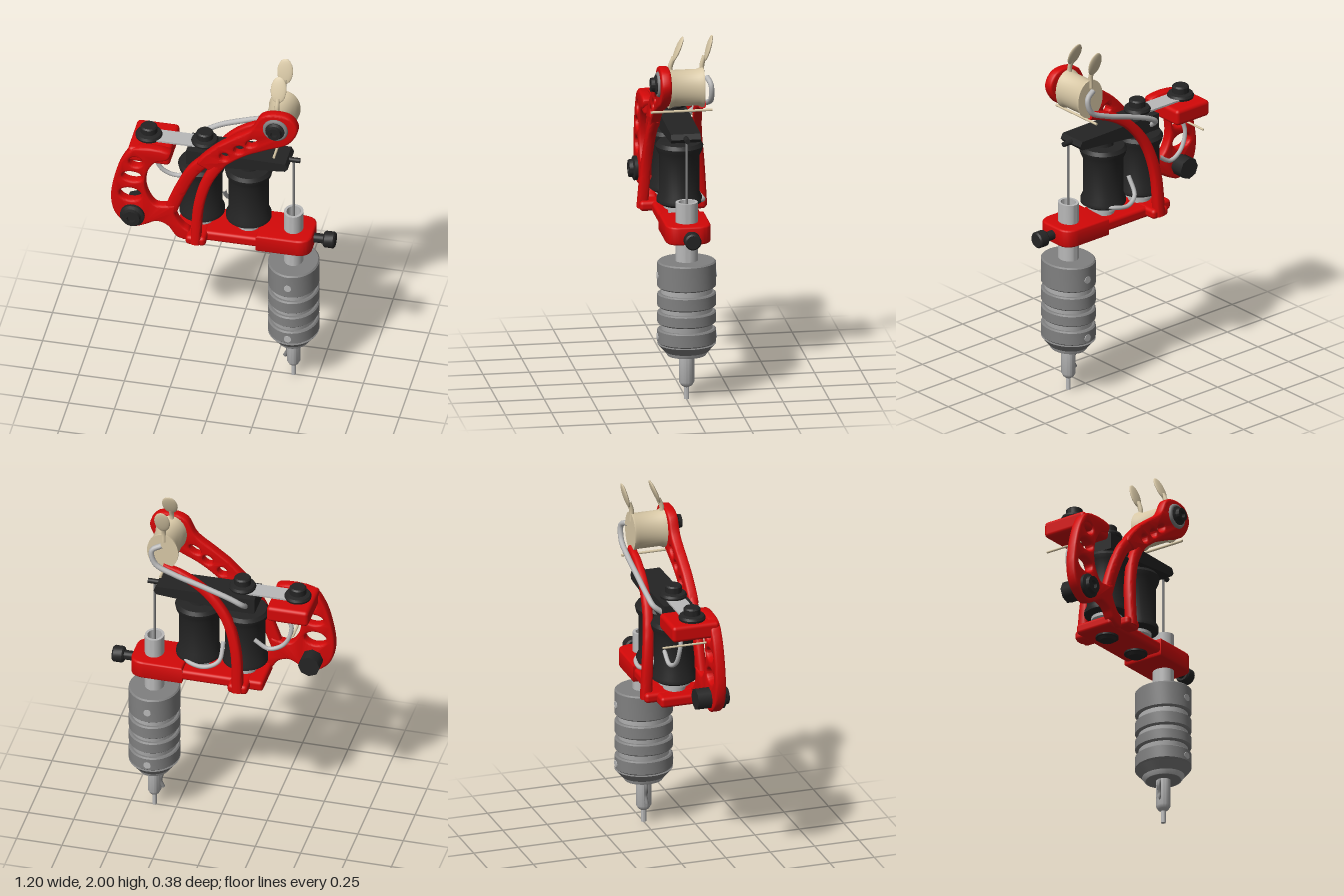
import * as THREE from 'three';
import { toCreasedNormals } from 'three/addons/utils/BufferGeometryUtils.js';
import { RoundedBoxGeometry } from 'three/addons/geometries/RoundedBoxGeometry.js';

const mat = (name, color) => {
  const m = new THREE.MeshStandardMaterial({ color });
  m.name = name;
  return m;
};
const V = (p) => new THREE.Vector3(...p);

export function createModel() {
  const root = new THREE.Group();
  root.name = 'coilMachine';
  const red = mat('frame red', 0xd40808);
  const black = mat('black', 0x242424);
  const steel = mat('light steel', 0xb9b9b9);
  const grey = mat('grip grey', 0x808080);
  const beige = mat('brass beige', 0xd8c8a6);

  const add = (name, geo, m, x = 0, y = 0, z = 0) => {
    const mesh = new THREE.Mesh(geo, m);
    mesh.name = name;
    mesh.position.set(x, y, z);
    root.add(mesh);
    return mesh;
  };
  // Turned part: profile of [radius, height] pairs
  const lathe = (name, pts, m, x = 0, y = 0, z = 0, seg = 40) =>
    add(name, toCreasedNormals(new THREE.LatheGeometry(pts.map((p) => new THREE.Vector2(...p)), seg), 0.6), m, x, y, z);
  const rod = (name, r, h, m, x, y, z, seg = 28) => add(name, new THREE.CylinderGeometry(r, r, h, seg), m, x, y, z);
  const tube = (name, pts, r, m) =>
    add(name, new THREE.TubeGeometry(new THREE.CatmullRomCurve3(pts.map(V)), 48, r, 10), m);

  // Flat plate with a smooth closed outline and oval holes [x, y, rx, ry, tilt]
  const plate = (name, outline, holes, z, depth) => {
    const curve = new THREE.CatmullRomCurve3(outline.map(([x, y]) => V([x, y, 0])), true, 'centripetal');
    const shape = new THREE.Shape(curve.getPoints(100).slice(0, -1).map((p) => new THREE.Vector2(p.x, p.y)));
    for (const [x, y, rx, ry, tilt] of holes)
      shape.holes.push(new THREE.Path().absellipse(x, y, rx, ry, 0, Math.PI * 2, true, tilt));
    const b = 0.012;
    const geo = new THREE.ExtrudeGeometry(shape, {
      depth: depth - 2 * b, bevelThickness: b, bevelSize: b, bevelOffset: -b, bevelSegments: 3, curveSegments: 20,
    });
    return add(name, toCreasedNormals(geo, 0.7), red, 0, 0, z + b);
  };

  // Bar with a rounded section swept along a path; w and t run from start to end
  const strip = (name, pts, w, t) => {
    const curve = new THREE.CatmullRomCurve3(pts.map(V));
    const rows = 30, n = 16, pos = [], idx = [];
    const lerp = THREE.MathUtils.lerp;
    const soft = (c) => Math.sign(c) * Math.pow(Math.abs(c), 0.6);
    for (let i = 0; i <= rows; i++) {
      const u = i / rows, p = curve.getPoint(u), d = curve.getTangent(u);
      const l = Math.hypot(d.x, d.y);
      for (let j = 0; j < n; j++) {
        const a = (j / n) * Math.PI * 2;
        const k = lerp(w[0], w[1], u) * soft(Math.cos(a));
        pos.push(p.x - (d.y / l) * k, p.y + (d.x / l) * k, p.z + lerp(t[0], t[1], u) * soft(Math.sin(a)));
      }
    }
    const s = pos.length / 3, e = s + 1;
    pos.push(...pts[0], ...pts[pts.length - 1]);
    for (let j = 0; j < n; j++) {
      const k = (j + 1) % n;
      for (let i = 0; i < rows; i++) {
        const a = i * n, c = a + n;
        idx.push(a + j, a + k, c + k, a + j, c + k, c + j);
      }
      idx.push(s, k, j, e, rows * n + j, rows * n + k);
    }
    const geo = new THREE.BufferGeometry();
    geo.setAttribute('position', new THREE.Float32BufferAttribute(pos, 3));
    geo.setIndex(idx);
    return add(name, toCreasedNormals(geo, 0.9), red);
  };

  // Rear side plate and its top shelf
  plate('rearFrame', [
    [-0.48, 1.475], [-0.54, 1.4], [-0.585, 1.26], [-0.6, 1.12], [-0.57, 1.02], [-0.48, 0.957], [-0.41, 0.98],
    [-0.35, 1.01], [-0.29, 0.99], [-0.24, 0.925], [-0.17, 0.915], [-0.17, 0.97], [-0.21, 1.0], [-0.25, 1.07],
    [-0.25, 1.13], [-0.3, 1.12], [-0.36, 1.12], [-0.41, 1.21], [-0.405, 1.32], [-0.36, 1.4], [-0.29, 1.43], [-0.28, 1.475],
  ], [
    [-0.465, 1.39, 0.036, 0.032, 0], [-0.485, 1.29, 0.055, 0.032, 0], [-0.495, 1.17, 0.06, 0.042, 0],
  ], 0.075, 0.058);
  add('shelf', new RoundedBoxGeometry(0.23, 0.09, 0.265, 3, 0.02), red, -0.395, 1.435, -0.005);

  // Front arm: pierced head section splitting into two legs
  plate('armHead', [
    [0.3, 1.835], [0.22, 1.81], [0.165, 1.715], [0.06, 1.635], [-0.04, 1.555], [-0.13, 1.44], [-0.1, 1.42],
    [-0.02, 1.4], [0.04, 1.46], [0.14, 1.535], [0.26, 1.595], [0.37, 1.65], [0.42, 1.75], [0.38, 1.82],
  ], [
    [0.17, 1.625, 0.036, 0.02, 0.6], [0.1, 1.57, 0.03, 0.023, 0.7], [0.02, 1.51, 0.026, 0.023, 0.8],
  ], 0.085, 0.055);
  strip('armRearLeg', [[-0.06, 1.48, 0.112], [-0.15, 1.38, 0.11], [-0.22, 1.24, 0.105], [-0.28, 1.08, 0.105]], [0.035, 0.035], [0.025, 0.025]);
  strip('armFrontLeg', [[0, 1.46, 0.112], [-0.07, 1.34, 0.125], [-0.115, 1.18, 0.14], [-0.13, 0.93, 0.16]], [0.032, 0.027], [0.025, 0.03]);

  // Slim arm on the far side
  strip('backArm', [
    [-0.13, 0.93, -0.16], [-0.115, 1.18, -0.145], [-0.06, 1.36, -0.125], [0.05, 1.5, -0.11], [0.18, 1.58, -0.1], [0.3, 1.62, -0.095],
  ], [0.03, 0.024], [0.03, 0.02]);

  // Base with the tube clamp
  add('basePlate', new RoundedBoxGeometry(0.55, 0.06, 0.23, 3, 0.018), red, 0.02, 0.94, 0);
  add('baseFoot', new RoundedBoxGeometry(0.11, 0.055, 0.36, 3, 0.02), red, -0.13, 0.945, 0);
  const clamp = new THREE.Shape();
  clamp.moveTo(0.2, -0.11).lineTo(0.4, -0.11).quadraticCurveTo(0.47, -0.11, 0.47, -0.05)
    .lineTo(0.47, 0.05).quadraticCurveTo(0.47, 0.11, 0.4, 0.11).lineTo(0.2, 0.11).closePath();
  const clampGeo = new THREE.ExtrudeGeometry(clamp, { depth: 0.08, bevelThickness: 0.01, bevelSize: 0.012, bevelSegments: 3 });
  add('tubeClamp', toCreasedNormals(clampGeo.rotateX(-Math.PI / 2), 0.7), red, 0, 0.9, 0);
  lathe('thumbScrew', [[0, 0], [0.026, 0], [0.026, 0.06], [0.037, 0.06], [0.045, 0.068], [0.045, 0.115], [0.037, 0.123], [0, 0.123]],
    black, 0.475, 0.94, 0, 20).rotation.z = -Math.PI / 2;

  // Coils with cores, washers and base bolts
  for (const x of [-0.13, 0.125]) {
    lathe('coil', [
      [0, 1.02], [0.1, 1.02], [0.122, 1.035], [0.122, 1.055], [0.108, 1.085], [0.108, 1.29],
      [0.122, 1.32], [0.128, 1.345], [0.115, 1.365], [0.056, 1.367], [0.054, 1.388], [0, 1.388],
    ], black, x);
    rod('coilWasher', 0.085, 0.018, steel, x, 1.01, 0);
    rod('coilCore', 0.06, 0.05, steel, x, 0.985, 0);
    lathe('baseBolt', [[0, 0.885], [0.04, 0.885], [0.05, 0.9], [0.062, 0.9], [0.062, 0.915], [0, 0.915]], black, x);
  }

  // Armature bar, spring and their bolts
  const bar = new THREE.Shape([[-0.2, 1.385], [-0.05, 1.385], [0.34, 1.42], [0.355, 1.44], [0.34, 1.468], [-0.2, 1.475]].map((p) => new THREE.Vector2(...p)));
  add('armatureBar', new THREE.ExtrudeGeometry(bar, { depth: 0.16, bevelEnabled: false }), black, 0, 0, -0.08);
  rod('armatureNipple', 0.014, 0.06, black, 0.375, 1.445, 0).rotation.z = Math.PI / 2;
  add('spring', new THREE.BoxGeometry(0.32, 0.01, 0.1), steel, -0.27, 1.487, 0);
  for (const [x, y] of [[-0.42, 1.48], [-0.115, 1.49]])
    lathe('topBolt', [[0, 0], [0.07, 0], [0.073, 0.012], [0.066, 0.025], [0.045, 0.03], [0.045, 0.062], [0.038, 0.07], [0, 0.07]], black, x, y, 0);

  // Side screws with socket heads
  const sideScrew = (name, x, y, z, r) => {
    lathe(name, [[0, 0], [r, 0], [r, 0.018], [r * 0.75, 0.026], [r * 0.7, 0.045], [r * 0.35, 0.045], [r * 0.35, 0.025], [0, 0.025]],
      black, x, y, z).rotation.x = Math.PI / 2;
  };
  sideScrew('rearScrew', -0.48, 1.04, 0.132, 0.066);
  sideScrew('armScrew', 0.3, 1.74, 0.138, 0.052);
  add('armScrewRing', new THREE.TorusGeometry(0.056, 0.013, 12, 40), grey, 0.3, 1.74, 0.14);
  rod('rearKnob', 0.06, 0.08, black, -0.48, 1.04, 0.037, 8).rotation.x = Math.PI / 2;

  // Clip drum with two wings and a cross pin
  const drum = lathe('clipDrum', [[0, -0.1], [0.11, -0.1], [0.11, -0.09], [0.1, -0.07], [0.1, 0.06], [0.11, 0.08], [0.11, 0.09], [0, 0.09]], beige, 0.3, 1.715, 0);
  drum.rotation.x = Math.PI / 2;
  drum.scale.x = 0.78;
  for (const [z0, z1, tilt] of [[0.075, 0.035, -0.4], [-0.095, -0.13, -0.28]]) {
    tube('wingStem', [[0.295, 1.78, z0], [0.295, 1.84, z0], [0.295, 1.89, z1 + 0.02]], 0.013, beige);
    const wing = add('wing', new THREE.SphereGeometry(1, 28, 18), beige, 0.295, 1.93, z1);
    wing.scale.set(0.043, 0.073, 0.011);
    wing.rotation.x = tilt;
  }
  rod('clipPin', 0.007, 0.33, beige, 0.3, 1.585, 0.015, 10).rotation.x = Math.PI / 2;
  rod('rearPin', 0.006, 0.05, beige, -0.435, 1.34, -0.145, 10).rotation.x = Math.PI / 2;
  rod('rearPinPost', 0.006, 0.2, beige, -0.435, 1.34, -0.02, 10).rotation.x = Math.PI / 2;

  // Wiring
  tube('mainWire', [
    [0.3, 1.77, -0.12], [0.35, 1.74, -0.135], [0.33, 1.66, -0.14], [0.22, 1.605, -0.14], [0.08, 1.56, -0.14],
    [-0.08, 1.5, -0.135], [-0.14, 1.46, -0.12], [-0.15, 1.42, -0.07],
  ], 0.015, steel);
  tube('rearWire', [[-0.36, 1.42, -0.04], [-0.4, 1.31, -0.06], [-0.36, 1.21, -0.07], [-0.28, 1.175, -0.08], [-0.2, 1.22, -0.08]], 0.012, steel);
  tube('coilWire', [[-0.02, 1.15, -0.04], [-0.01, 1.06, -0.1], [0.06, 1.03, -0.13], [0.15, 1.04, -0.12], [0.2, 1.05, -0.06]], 0.012, steel);

  // Needle bar, tube, grip and tip, slightly deeper than wide
  const gx = 0.37, deep = 1.15;
  rod('needleBar', 0.007, 0.4, grey, gx, 1.25, 0, 10);
  lathe('gripTube', [
    [0, 0], [0.012, 0.003], [0.012, 0.07], [0.026, 0.08], [0.036, 0.1], [0.036, 0.25], [0.09, 0.25],
    [0.12, 0.3], [0.12, 0.76], [0.052, 0.775], [0.052, 1.1], [0.038, 1.1], [0.038, 1.0], [0, 1.0],
  ], steel, gx).scale.z = deep;
  for (const [a, b] of [[0.32, 0.4], [0.43, 0.497], [0.523, 0.6], [0.63, 0.775]])
    lathe('gripBand', [[0.118, a], [0.13, a], [0.137, a + 0.007], [0.137, b - 0.007], [0.13, b], [b > 0.7 ? 0.05 : 0.118, b]], grey, gx).scale.z = deep;
  lathe('gripCone', [[0.036, 0.249], [0.085, 0.249], [0.137, 0.315], [0.118, 0.322]], grey, gx).scale.z = deep;
  for (const y of [0.355, 0.695])
    for (const s of [-1, 1])
      rod('gripSetScrew', 0.02, 0.008, steel, gx, y, s * 0.156, 20).rotation.x = Math.PI / 2;
  tube('tipHook', [[0.345, 0.25, 0], [0.33, 0.21, 0], [0.338, 0.16, 0], [0.322, 0.12, 0]], 0.011, grey);

  return root;
}
